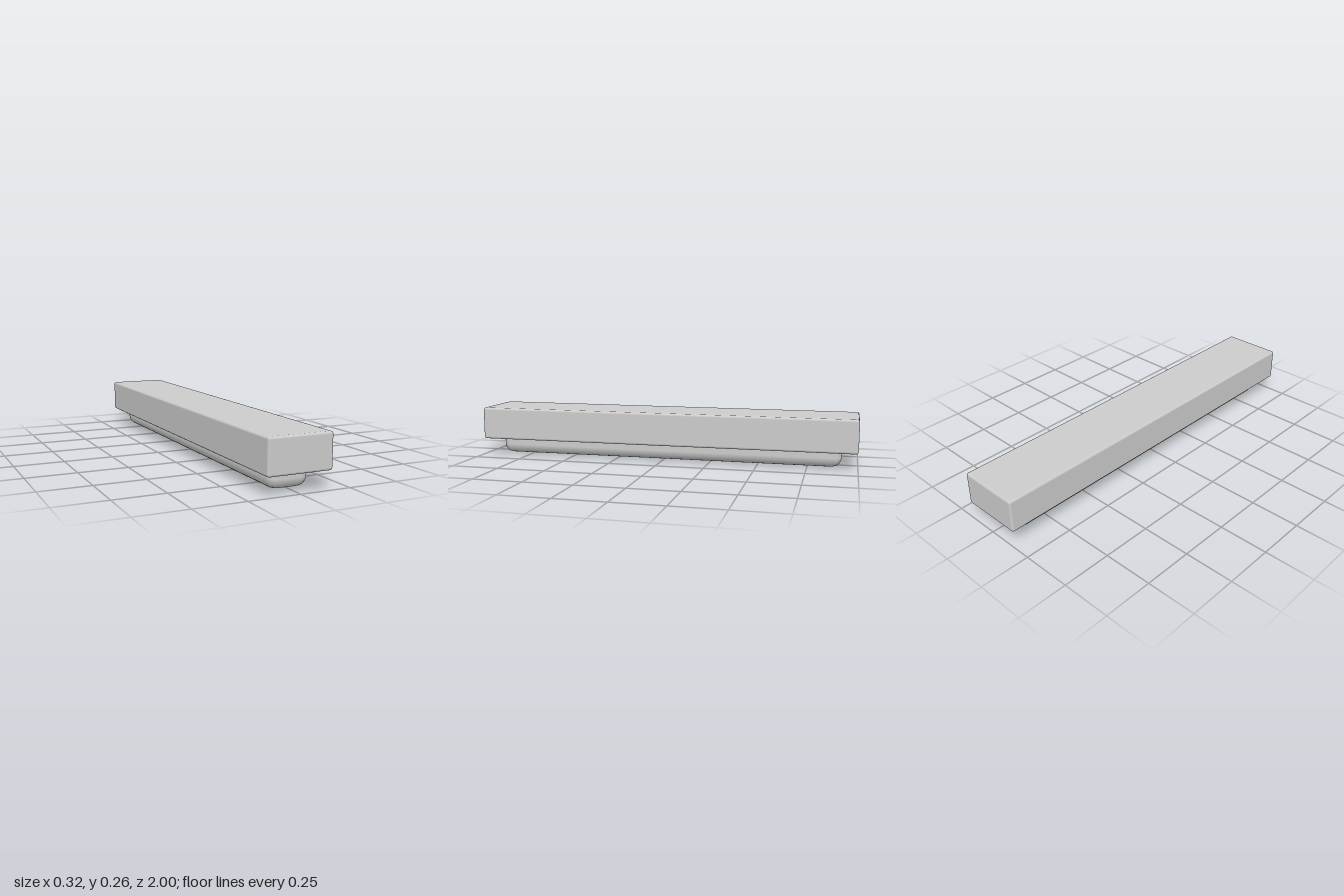
import * as THREE from 'three';
import { RoundedBoxGeometry } from 'three/addons/geometries/RoundedBoxGeometry.js';

export function createModel() {
  const group = new THREE.Group();
  group.name = 'bar';
  const material = new THREE.MeshStandardMaterial({ color: 0xcccccc });

  // Rounded block spanning bottom..top in y, centred on x and z
  function addBlock(name, width, bottom, top, depth, segments, radius) {
    const geometry = new RoundedBoxGeometry(width, top - bottom, depth, segments, radius);
    const mesh = new THREE.Mesh(geometry, material);
    mesh.name = name;
    mesh.position.y = (bottom + top) / 2;
    group.add(mesh);
  }

  // Main bar with a fine edge rounding
  addBlock('mainBar', 0.32, 0.086, 0.257, 2, 2, 0.012);
  // Softly rounded rail, its upper half sunk into the bar
  addBlock('lowerRail', 0.2, 0, 0.17, 1.84, 2, 0.05);

  return group;
}
